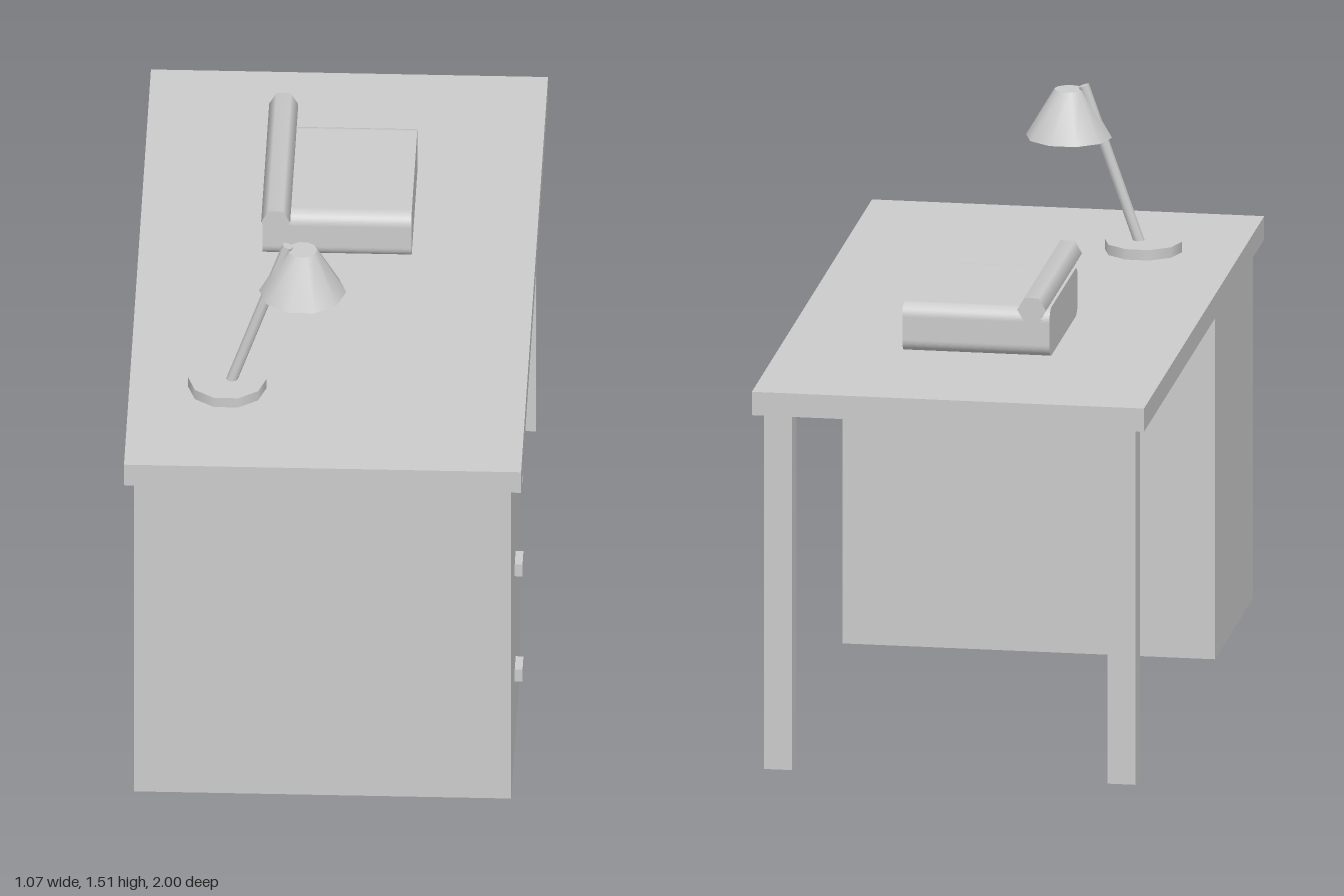
import * as THREE from 'three';

export function createModel() {
  const desk = new THREE.Group();
  desk.name = 'desk';
  const grey = new THREE.MeshStandardMaterial({ color: 0xcccccc });

  const add = (name, geometry, x, y, z, parent = desk) => {
    const mesh = new THREE.Mesh(geometry, grey);
    mesh.name = name;
    mesh.position.set(x, y, z);
    parent.add(mesh);
    return mesh;
  };
  const box = (name, [x0, x1], [y0, y1], [z0, z1]) =>
    add(name, new THREE.BoxGeometry(x1 - x0, y1 - y0, z1 - z0),
      (x0 + x1) / 2, (y0 + y1) / 2, (z0 + z1) / 2);

  // Desk: top, drawer cabinet, handles and two rear legs
  const topY = 1.055;
  box('deskTop', [-0.533, 0.533], [0.99, topY], [-1, 1]);
  box('drawerCabinet', [-0.508, 0.505], [0, 0.99], [0.335, 0.965]);
  for (const y of [0.85, 0.555, 0.222]) {
    box('drawerHandle', [0.505, 0.526], [y - 0.019, y + 0.019], [0.63, 0.697]);
  }
  for (const side of [-1, 1]) {
    const x = side * 0.467;
    box('leg', [x - 0.038, x + 0.038], [0, 0.99], [-0.97, -0.893]);
  }

  // Typewriter: rounded body extruded along x, hexagonal roller along z
  const typewriter = new THREE.Group();
  typewriter.name = 'typewriter';
  desk.add(typewriter);
  const w = 0.235, h = 0.134, r = 0.035;
  const profile = new THREE.Shape();
  profile.absarc(w - r, h - r, r, 0, Math.PI / 2);
  profile.absarc(-w + r, h - r, r, Math.PI / 2, Math.PI);
  profile.absarc(-w + r, r, r, Math.PI, Math.PI * 1.5);
  profile.absarc(w - r, r, r, Math.PI * 1.5, Math.PI * 2);
  const body = new THREE.ExtrudeGeometry(profile, { depth: 0.4, bevelEnabled: false, curveSegments: 8 });
  body.rotateY(Math.PI / 2);
  add('typewriterBody', body, -0.2, topY, -0.3, typewriter);
  const roller = new THREE.CylinderGeometry(0.039, 0.039, 0.6, 6);
  roller.rotateY(Math.PI / 2).rotateX(Math.PI / 2);
  add('typewriterRoller', roller, -0.162, 1.205, -0.3, typewriter);

  // Lamp: ten-sided base and shade joined by a leaning arm
  const lamp = new THREE.Group();
  lamp.name = 'lamp';
  desk.add(lamp);
  const tenSided = (rTop, rBottom, height) =>
    new THREE.CylinderGeometry(rTop, rBottom, height, 10).rotateY(Math.PI / 2);
  add('lampBase', tenSided(0.105, 0.105, 0.029), -0.27, topY + 0.0145, 0.6, lamp);
  add('lampShade', tenSided(0.04, 0.117, 0.131), -0.068, 1.43, 0.6, lamp);
  const foot = new THREE.Vector3(-0.264, 1.065, 0.6);
  const tip = new THREE.Vector3(-0.108, 1.507, 0.6);
  const arm = add('lampArm', new THREE.CylinderGeometry(0.015, 0.015, foot.distanceTo(tip), 8), 0, 0, 0, lamp);
  arm.position.lerpVectors(foot, tip, 0.5);
  arm.quaternion.setFromUnitVectors(new THREE.Vector3(0, 1, 0), tip.clone().sub(foot).normalize());

  return desk;
}
